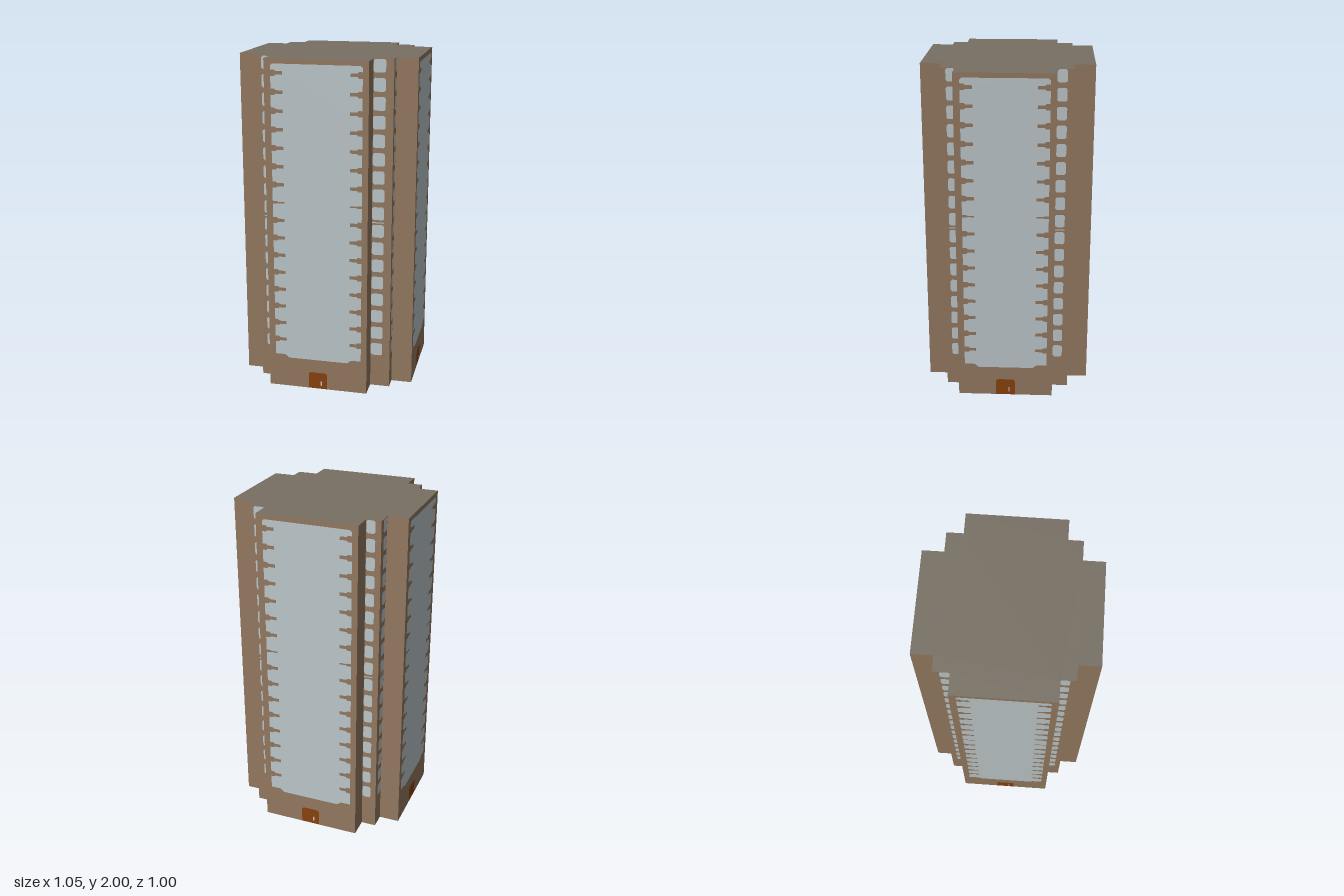
import * as THREE from 'three';

const H = 2, FLOOR = 0.1075, FLOORS = 16, FIRST = 0.308, ODD = 7;

function material(name, color) {
  const m = new THREE.MeshStandardMaterial({ color, side: THREE.DoubleSide });
  m.name = name;
  return m;
}

const toShape = (pts) => new THREE.Shape(pts.map(([x, y]) => new THREE.Vector2(x, y)));

// rectangle with clipped corners
function clipped(x0, y0, x1, y1, c) {
  return [[x0 + c, y0], [x1 - c, y0], [x1, y0 + c], [x1, y1 - c],
    [x1 - c, y1], [x0 + c, y1], [x0, y1 - c], [x0, y0 + c]];
}

// tall curtain of glass, notched on both sides by a stub of slab at every floor
function curtainOutline(w) {
  const l = 0.038, r = w - 0.035, depth = 0.07;
  const right = [], left = [];
  for (let i = 0; i < FLOORS; i++) {
    const y = FIRST + i * FLOOR;
    const a = i === ODD + 1 ? 0.008 : 0.018, b = a * 0.55;
    const stub = [[0, -a], [0.022, -a], [0.03, -b], [depth, -b], [depth, b], [0.03, b], [0.022, a], [0, a]];
    stub.forEach(([d, h]) => {
      right.push([r - d, y + h]);
      left.push([l + d, y + h]);
    });
  }
  return [
    [l + 0.085, 0.188], [r - 0.085, 0.188], [r - 0.06, 0.208], [r, 0.208],
    ...right, [r, 1.96], [r - 0.012, 1.972], [l + 0.012, 1.972], [l, 1.96],
    ...left.reverse(), [l, 0.208], [l + 0.06, 0.208],
  ];
}

// column of small windows hugging one end of a narrow wall
function columnOutlines(w, atStart) {
  const ww = w * 0.61, x0 = atStart ? 0.001 : w - ww, x1 = atStart ? ww : w - 0.001;
  const list = [];
  for (let i = 0; i <= FLOORS; i++) {
    const y = FIRST - FLOOR + i * FLOOR;
    list.push(clipped(x0, y + 0.002, x1, Math.min(y + 0.08, H - 0.002), 0.009));
    if (i === ODD) list.push(clipped(x0, y + 0.09, x1, y + 0.096, 0.001));
  }
  return list;
}

export function createModel() {
  const group = new THREE.Group();
  const brown = material('wallBrown', 0x967b62);
  const glass = material('paleGlass', 0xbfcacd);
  const roofGrey = material('roofGrey', 0x787064);
  const rust = material('doorRust', 0x8b430e);

  // stepped cross plan, counter-clockwise from the front left corner
  const plan = [
    [-0.317, 0.497], [0.285, 0.497], [0.285, 0.372], [0.403, 0.372], [0.403, 0.287],
    [0.527, 0.287], [0.527, -0.283], [0.403, -0.283], [0.403, -0.378], [0.285, -0.378],
    [0.285, -0.5], [-0.317, -0.5], [-0.317, -0.378], [-0.405, -0.378], [-0.405, -0.283],
    [-0.527, -0.283], [-0.527, 0.287], [-0.405, 0.287], [-0.405, 0.372], [-0.317, 0.372],
  ];

  const add = (parent, name, shapes, mat) => {
    const mesh = new THREE.Mesh(new THREE.ShapeGeometry(shapes), mat);
    mesh.name = name;
    parent.add(mesh);
    return mesh;
  };

  plan.forEach(([x, z], i) => {
    const [nx, nz] = plan[(i + 1) % plan.length];
    const w = Math.hypot(nx - x, nz - z);
    const kind = i % 5; // 0 main face, 2 and 3 windowed corner walls, others plain
    const side = new THREE.Group();
    side.name = kind === 0 ? 'mainFace' : kind === 2 || kind === 3 ? 'cornerWall' : 'plainWall';
    side.position.set(x, 0, z);
    side.rotation.y = Math.atan2(z - nz, nx - x);
    group.add(side);

    let outline = [[0, 0], [w, 0], [w, H], [0, H]];
    let panes = [];
    if (kind === 0) {
      // doorway cut from the foot of the wall
      const c = w / 2, a = c - 0.057, b = c + 0.058;
      const door = [[a, 0], [a, 0.095], [a + 0.012, 0.105], [b - 0.012, 0.105], [b, 0.095], [b, 0]];
      outline = [[0, 0], ...door, [w, 0], [w, H], [0, H]];
      panes = [curtainOutline(w)];
      const slit = clipped(c + 0.018, 0.02, c + 0.026, 0.05, 0.001);
      const doorShape = toShape(door);
      doorShape.holes.push(toShape(slit));
      add(side, 'door', doorShape, rust);
      add(side, 'doorSlit', toShape(slit), glass);
    } else if (kind === 2 || kind === 3) {
      panes = columnOutlines(w, kind === 2);
    }

    const wall = toShape(outline);
    panes.forEach((p) => wall.holes.push(toShape(p)));
    add(side, 'wall', wall, brown);
    if (panes.length) add(side, 'windows', panes.map(toShape), glass);
  });

  // flat roof following the plan
  const roof = add(group, 'roof', toShape(plan.map(([x, z]) => [x, -z])), roofGrey);
  roof.rotation.x = -Math.PI / 2;
  roof.position.y = H;

  return group;
}
